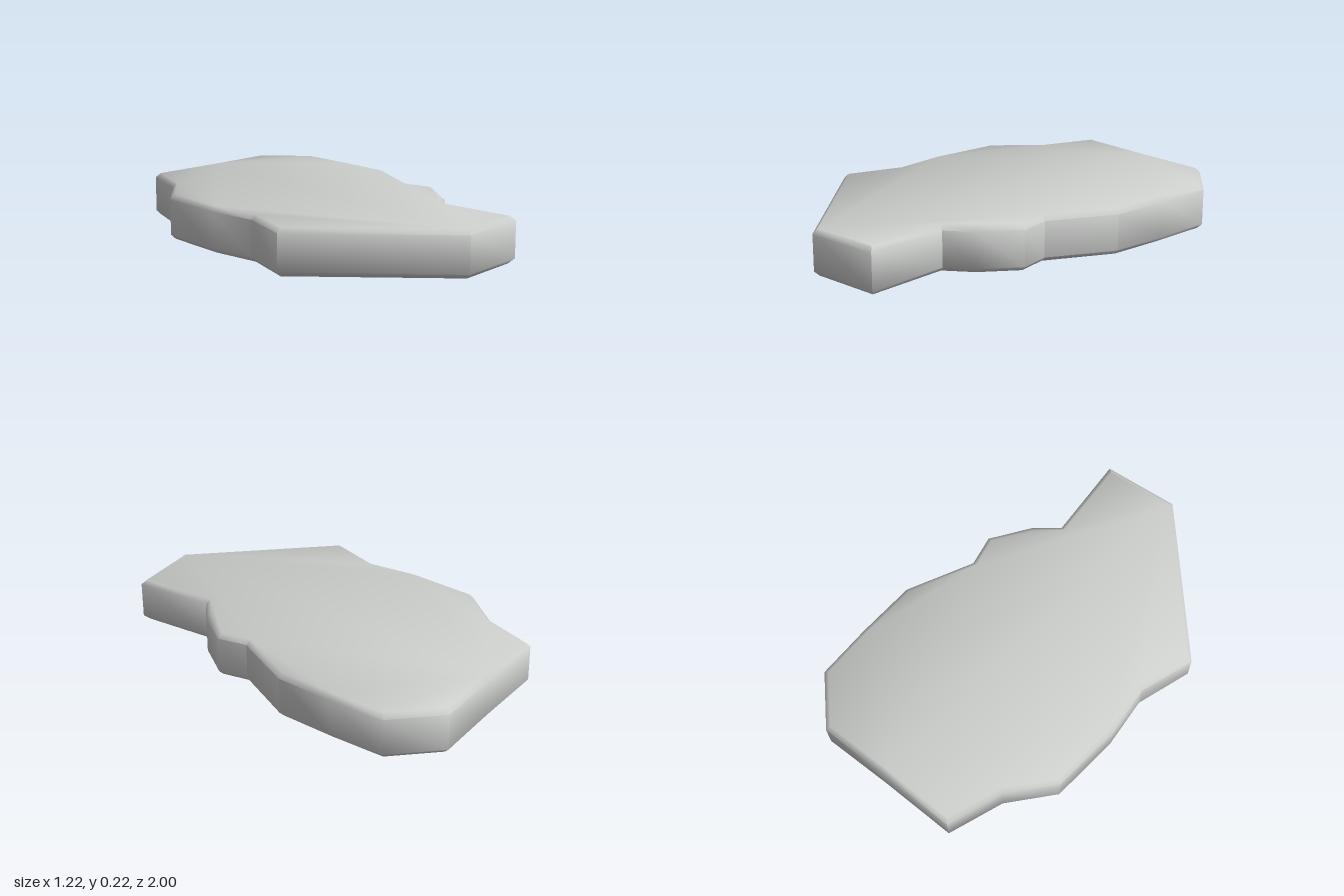
import * as THREE from 'three';
import { toCreasedNormals } from 'three/addons/utils/BufferGeometryUtils.js';

// Irregular slab outline as [x, z], starting at the back
const OUTLINE = [
  [0.19, -1.0], [0.44, -0.865], [0.52, -0.6], [0.59, -0.325], [0.535, 0.015],
  [0.605, 0.145], [0.54, 0.35], [0.462, 0.475], [0.603, 0.85], [0.275, 1.0],
  [-0.445, 0.61], [-0.44, 0.33], [-0.535, 0.1], [-0.61, -0.235],
  [-0.505, -0.48], [-0.49, -0.765], [-0.13, -0.885],
];
const HEIGHT = 0.216;
const BEVEL = 0.022;

export function createModel() {
  const group = new THREE.Group();
  group.name = 'stoneSlab';

  const stone = new THREE.MeshStandardMaterial({ color: 0xcccecc });
  stone.name = 'pale grey stone';

  // Chamfered slab, laid flat on the ground
  const shape = new THREE.Shape(OUTLINE.map(([x, z]) => new THREE.Vector2(x, -z)));
  const extruded = new THREE.ExtrudeGeometry(shape, {
    depth: HEIGHT - 2 * BEVEL,
    bevelEnabled: true,
    bevelSize: BEVEL,
    bevelThickness: BEVEL,
    bevelOffset: -BEVEL,
    bevelSegments: 1,
  });
  extruded.rotateX(-Math.PI / 2).translate(0, BEVEL, 0);
  extruded.clearGroups();

  // Chamfers and gentle bends shade smoothly, sharp corners stay crisp
  const slab = new THREE.Mesh(toCreasedNormals(extruded, 0.85), stone);
  slab.name = 'slab';
  group.add(slab);
  return group;
}
